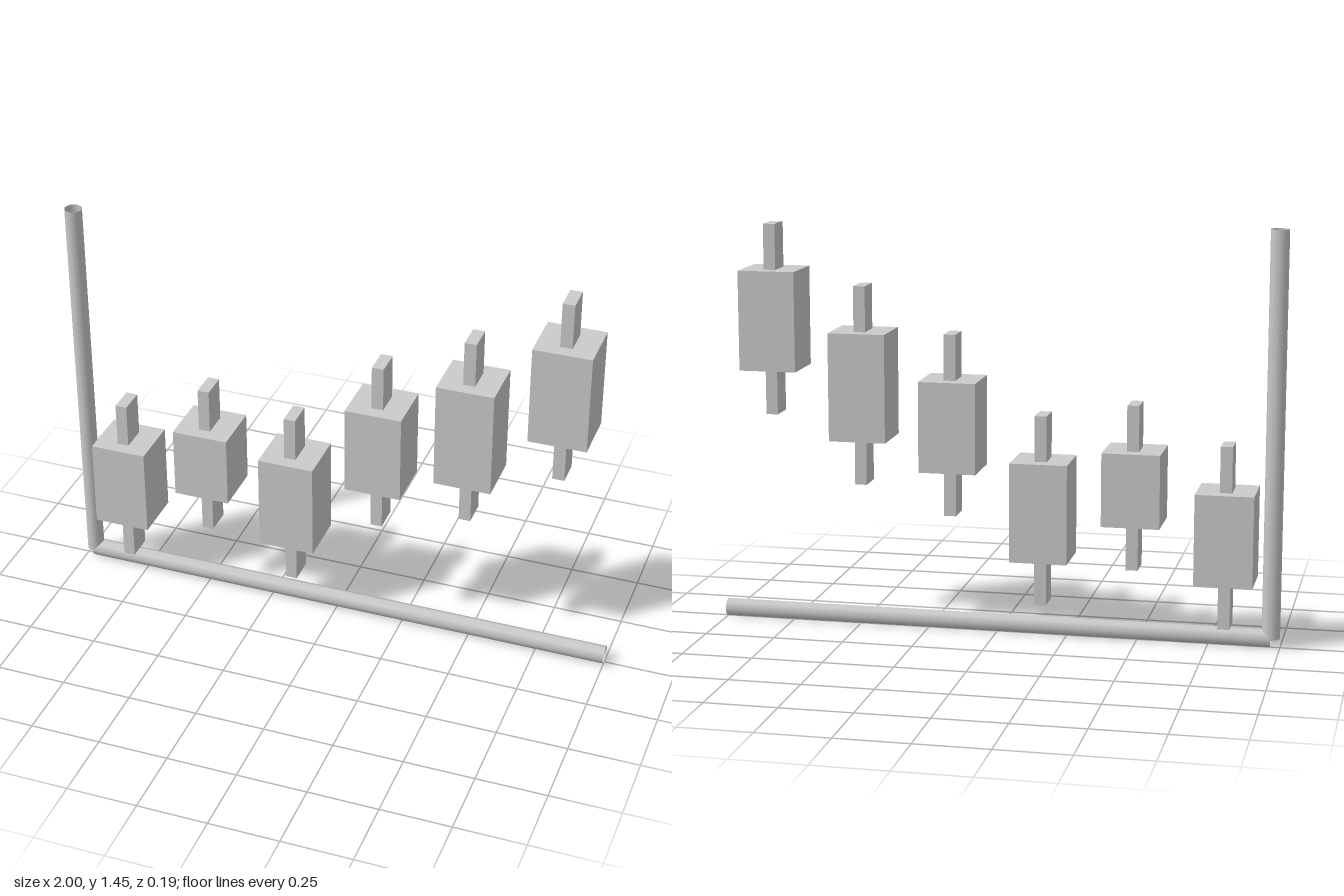
import * as THREE from 'three';

export function createModel() {
  const model = new THREE.Group();
  const material = new THREE.MeshStandardMaterial({ color: 0xcccccc });
  const tubeMaterial = new THREE.MeshStandardMaterial({ color: 0xcccccc, side: THREE.DoubleSide });

  // Open eight-sided axis tubes meeting at the lower corner
  const radius = 0.032;
  const corner = new THREE.Vector3(-0.968, radius, 0);
  function addAxis(name, end) {
    const path = new THREE.LineCurve3(corner, end);
    const mesh = new THREE.Mesh(new THREE.TubeGeometry(path, 1, radius, 8), tubeMaterial);
    mesh.name = name;
    model.add(mesh);
  }
  addAxis('horizontalAxis', new THREE.Vector3(1, radius, 0));
  addAxis('verticalAxis', new THREE.Vector3(-0.968, 1.452, 0));

  function addBox(parent, name, width, depth, bottom, top) {
    const mesh = new THREE.Mesh(new THREE.BoxGeometry(width, top - bottom, depth), material);
    mesh.name = name;
    mesh.position.y = (bottom + top) / 2;
    parent.add(mesh);
  }

  // Chart bars: bottom and top of each body; wicks reach equally past both ends
  const wickReach = 0.161;
  const bodies = [
    [0.228, 0.55], [0.421, 0.68], [0.278, 0.63],
    [0.583, 0.904], [0.681, 1.064], [0.921, 1.274],
  ];
  bodies.forEach(([bottom, top], i) => {
    const candle = new THREE.Group();
    candle.name = 'candle' + (i + 1);
    candle.position.x = -0.808 + i * 0.3225;
    addBox(candle, 'body', 0.203, 0.193, bottom, top);
    // Wick split into the two stubs above and below the body
    addBox(candle, 'upperWick', 0.042, 0.097, top, top + wickReach);
    addBox(candle, 'lowerWick', 0.042, 0.097, bottom - wickReach, bottom);
    model.add(candle);
  });

  return model;
}
